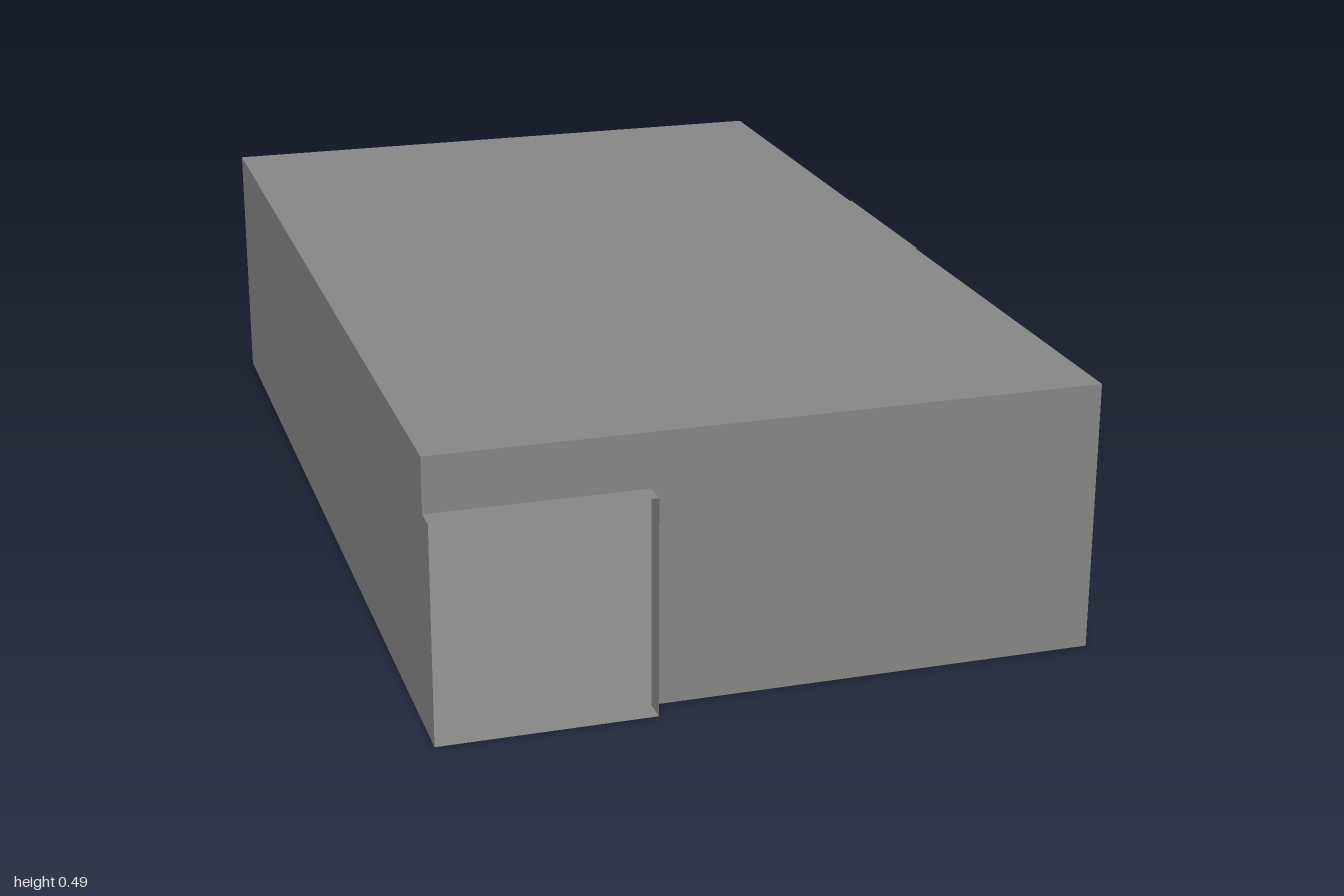
import * as THREE from 'three';

const ROOM_H = 0.488, DOOR_H = 0.39;
const X0 = -0.653, X1 = 0.522, Z0 = -0.957, Z1 = 0.957;
const material = new THREE.MeshStandardMaterial({ color: 0x888888, side: THREE.DoubleSide, flatShading: true });

// Thin rectangular panel, w x h, facing +z before it is turned
function panel(parent, name, w, h, position, rx = 0, ry = 0) {
  if (w < 1e-4 || h < 1e-4) return;
  const mesh = new THREE.Mesh(new THREE.PlaneGeometry(w, h), material);
  mesh.name = name;
  mesh.position.set(...position);
  mesh.rotation.set(rx, ry, 0);
  parent.add(mesh);
}

// One wall in its own frame (outside faces +z), with an optional doorway
// from a to b that continues outwards as an open-ended passage
function wall(name, yaw, dist, left, right, door) {
  const group = new THREE.Group();
  group.name = name;
  group.rotation.y = yaw;
  if (!door) {
    panel(group, 'wallPanel', right - left, ROOM_H, [(left + right) / 2, ROOM_H / 2, dist]);
    return group;
  }
  const { a, b, depth } = door;
  const mid = (a + b) / 2, zMid = dist + depth / 2;

  // Wall around the opening
  panel(group, 'wallLeftOfDoor', a - left, ROOM_H, [(left + a) / 2, ROOM_H / 2, dist]);
  panel(group, 'wallRightOfDoor', right - b, ROOM_H, [(b + right) / 2, ROOM_H / 2, dist]);
  panel(group, 'wallAboveDoor', b - a, ROOM_H - DOOR_H, [mid, (ROOM_H + DOOR_H) / 2, dist]);

  // Passage
  panel(group, 'passageFloor', b - a, depth, [mid, 0, zMid], Math.PI / 2);
  panel(group, 'passageCeiling', b - a, depth, [mid, DOOR_H, zMid], -Math.PI / 2);
  panel(group, 'passageLeftSide', depth, DOOR_H, [a, DOOR_H / 2, zMid], 0, -Math.PI / 2);
  panel(group, 'passageRightSide', depth, DOOR_H, [b, DOOR_H / 2, zMid], 0, Math.PI / 2);
  return group;
}

export function createModel() {
  const room = new THREE.Group();
  room.name = 'room';

  // Floor and roof
  const w = X1 - X0, d = Z1 - Z0, cx = (X0 + X1) / 2;
  panel(room, 'floor', w, d, [cx, 0, 0], Math.PI / 2);
  panel(room, 'roof', w, d, [cx, ROOM_H, 0], -Math.PI / 2);

  // Four walls, three of them with a doorway
  room.add(
    wall('frontWall', 0, Z1, X0, X1, { a: X0, b: -0.274, depth: 0.043 }),
    wall('leftWall', Math.PI / 2, X1, -Z1, -Z0, { a: 0.175, b: 0.556, depth: 0.131 }),
    wall('backWall', Math.PI, -Z0, -X1, -X0, { a: 0.012, b: 0.275, depth: 0.043 }),
    wall('rightWall', -Math.PI / 2, -X0, Z0, Z1),
  );
  return room;
}
